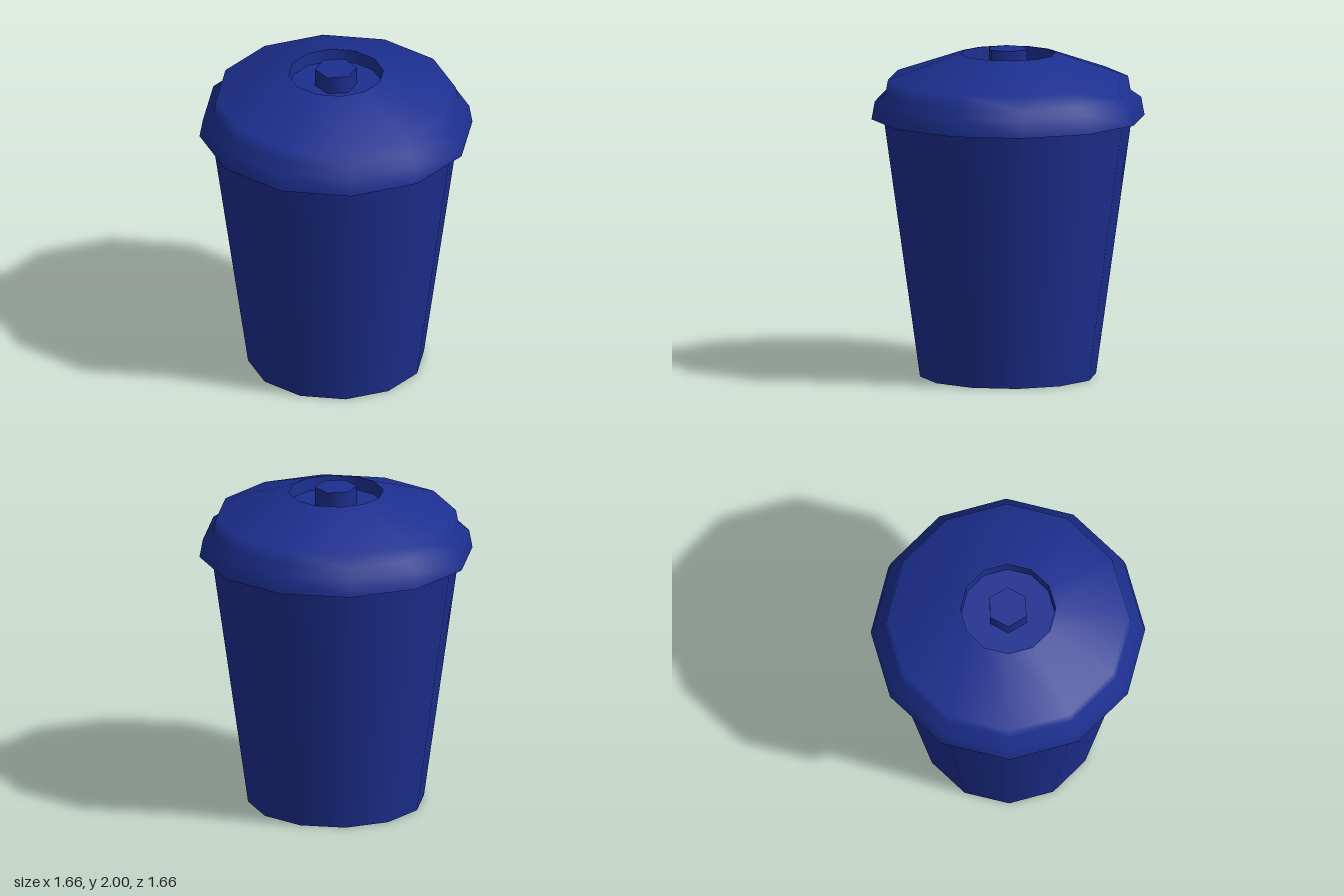
import * as THREE from 'three';

const SIDES = 12;

export function createModel() {
  const group = new THREE.Group();
  const blue = new THREE.MeshStandardMaterial({ color: 0x1c2f8f });
  const blueThin = new THREE.MeshStandardMaterial({ color: 0x1c2f8f, side: THREE.DoubleSide });

  const add = (name, geometry, y = 0, material = blue) => {
    const mesh = new THREE.Mesh(geometry, material);
    mesh.name = name;
    mesh.position.y = y;
    group.add(mesh);
    return mesh;
  };
  const lathe = (points) =>
    new THREE.LatheGeometry(points.map(([r, y]) => new THREE.Vector2(r, y)), SIDES);

  // Tapered bin body, its top edge tucked under the lid
  add('body', new THREE.CylinderGeometry(0.77, 0.535, 1.69, SIDES), 0.845);

  // Thin lid shell: skirt, step and sloping dome
  add('lid', lathe([
    [0.83, 1.58], [0.81, 1.69], [0.745, 1.735], [0.73, 1.82], [0.3, 1.97], [0.288, 1.97],
  ]), 0, blueThin);

  // Sunken well in the middle of the lid
  add('recessWall', lathe([[0.288, 1.97], [0.283, 1.89]]));
  const floor = add('recessFloor', new THREE.CircleGeometry(0.283, SIDES), 1.89);
  floor.rotation.x = -Math.PI / 2;

  // Hexagonal knob standing in the well
  add('knob', new THREE.CylinderGeometry(0.127, 0.127, 0.11, 6).toNonIndexed(), 1.945);

  return group;
}
